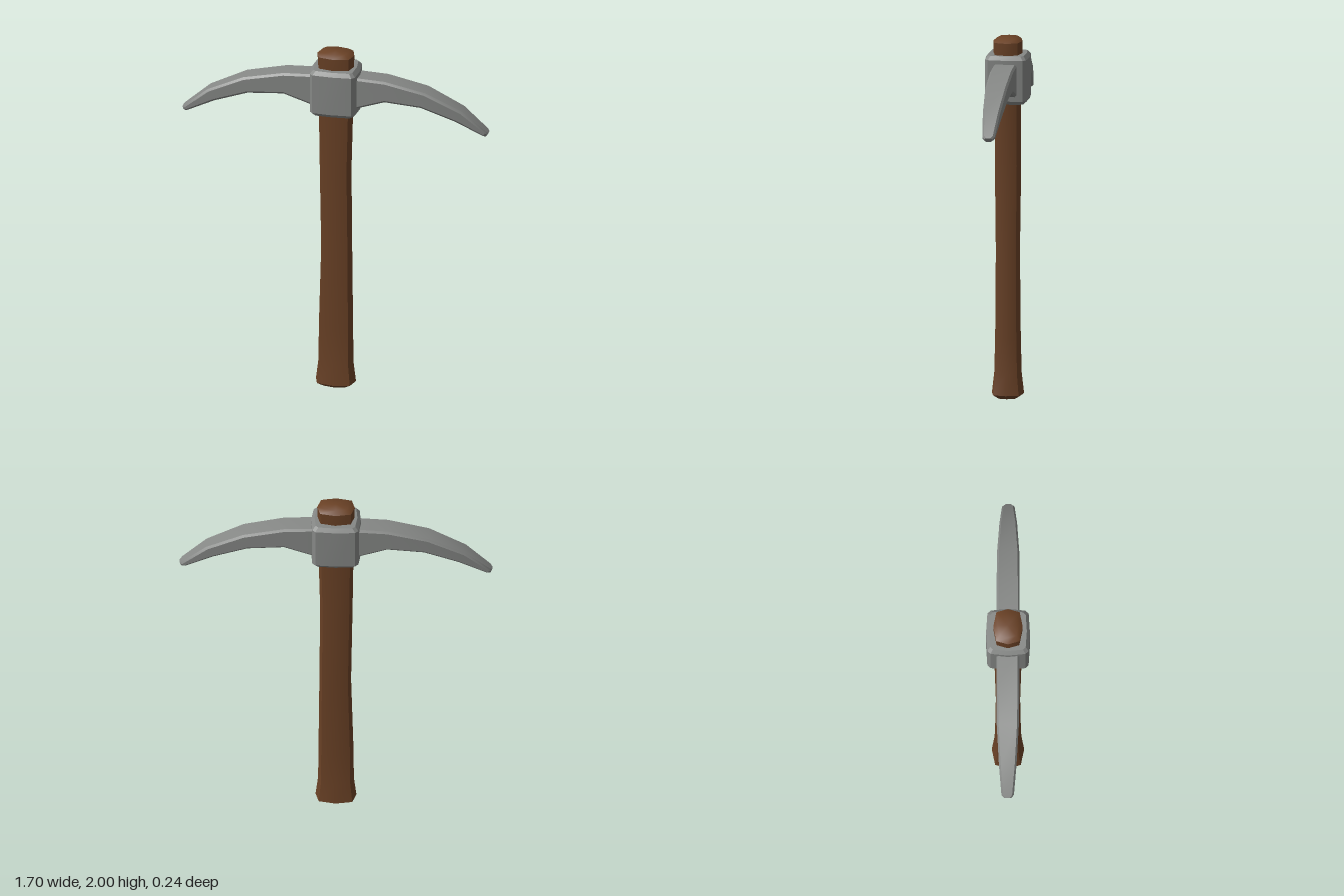
import * as THREE from 'three';
import { toCreasedNormals } from 'three/addons/utils/BufferGeometryUtils.js';

const wood = new THREE.MeshStandardMaterial({ name: 'brown wood', color: 0x6b4226 });
const steel = new THREE.MeshStandardMaterial({ name: 'grey steel', color: 0x868886 });

// Skins matching rings of points and closes both ends around a centre point.
function loft(rings, startCentre, endCentre, crease) {
  const n = rings[0].length;
  const flat = [...rings.flat(), startCentre, endCentre];
  const start = rings.length * n, end = start + 1;
  const index = [];
  for (let j = 0; j < n; j++) {
    const k = (j + 1) % n;
    for (let i = 0; i < rings.length - 1; i++) {
      const a = i * n + j, b = i * n + k;
      index.push(a, b, b + n, a, b + n, a + n);
    }
    const last = (rings.length - 1) * n;
    index.push(start, k, j, end, last + j, last + k);
  }
  const geometry = new THREE.BufferGeometry();
  geometry.setAttribute('position', new THREE.Float32BufferAttribute(flat.flat(), 3));
  geometry.setIndex(index);
  return toCreasedNormals(geometry, crease);
}

function part(name, geometry, material) {
  const mesh = new THREE.Mesh(geometry, material);
  mesh.name = name;
  return mesh;
}

// Eight-sided tapering shaft with a flared foot and shallow domed ends
function makeHandle() {
  const section = [[0, 1], [0.82, 0.79], [1, 0], [0.82, -0.79],
    [0, -1], [-0.82, -0.79], [-1, 0], [-0.82, 0.79]];
  // height, half width, half depth, sideways shift
  const profile = [
    [0.012, 0.07, 0.055, 0], [0.036, 0.111, 0.088, 0], [0.15, 0.097, 0.075, 0],
    [0.35, 0.095, 0.07, 0], [0.82, 0.086, 0.066, 0.004], [1.3, 0.088, 0.072, -0.002],
    [1.65, 0.095, 0.07, 0], [1.91, 0.1, 0.078, 0], [1.978, 0.102, 0.08, 0], [1.997, 0.072, 0.056, 0],
  ];
  const rings = profile.map(([y, w, d, s]) => section.map(([x, z]) => [x * w + s, y, z * d]));
  return part('handle', loft(rings, [0, 0, 0], [0, 2, 0], 0.85), wood);
}

// Slightly bulging collar with chamfered edges
function makeCollar() {
  const section = [[0, 0.119], [0.108, 0.112], [0.125, 0.095], [0.135, 0], [0.125, -0.095], [0.108, -0.112],
    [0, -0.119], [-0.108, -0.112], [-0.125, -0.095], [-0.135, 0], [-0.125, 0.095], [-0.108, 0.112]];
  const levels = [[1.645, 0.86], [1.665, 1], [1.89, 1], [1.911, 0.86]];
  const rings = levels.map(([y, s]) => section.map(([x, z]) => [x * s, y, z * s]));
  return part('collar', loft(rings, [0, 1.645, 0], [0, 1.911, 0], 0.4), steel);
}

// Curved arm with narrow chamfers, tapering to a blunt tip
function makeArm() {
  // upper x, upper y, lower x, lower y, half depth
  const stations = [
    [0.1, 1.87, 0.1, 1.68, 0.063], [0.28, 1.862, 0.28, 1.74, 0.063],
    [0.503, 1.814, 0.48, 1.724, 0.06], [0.703, 1.719, 0.667, 1.655, 0.048],
    [0.837, 1.605, 0.82, 1.577, 0.034], [0.849, 1.593, 0.833, 1.57, 0.022],
  ];
  const rings = stations.map(([ux, uy, lx, ly, d]) => {
    const bevel = 0.012 / Math.hypot(ux - lx, uy - ly);
    const t = Math.min(bevel, 0.3), e = d - 0.01;
    return [[0, -e], [0, e], [t, d], [1 - t, d], [1, e], [1, -e], [1 - t, -d], [t, -d]]
      .map(([f, z]) => [ux + (lx - ux) * f, uy + (ly - uy) * f, z]);
  });
  return loft(rings, [0.1, 1.775, 0], [0.841, 1.5815, 0], 0.45);
}

export function createModel() {
  const group = new THREE.Group();
  group.name = 'pickaxe';
  const arm = makeArm();
  const leftArm = part('leftArm', arm, steel);
  const rightArm = part('rightArm', arm, steel);
  rightArm.rotation.y = Math.PI;
  group.add(makeHandle(), makeCollar(), leftArm, rightArm);
  return group;
}
